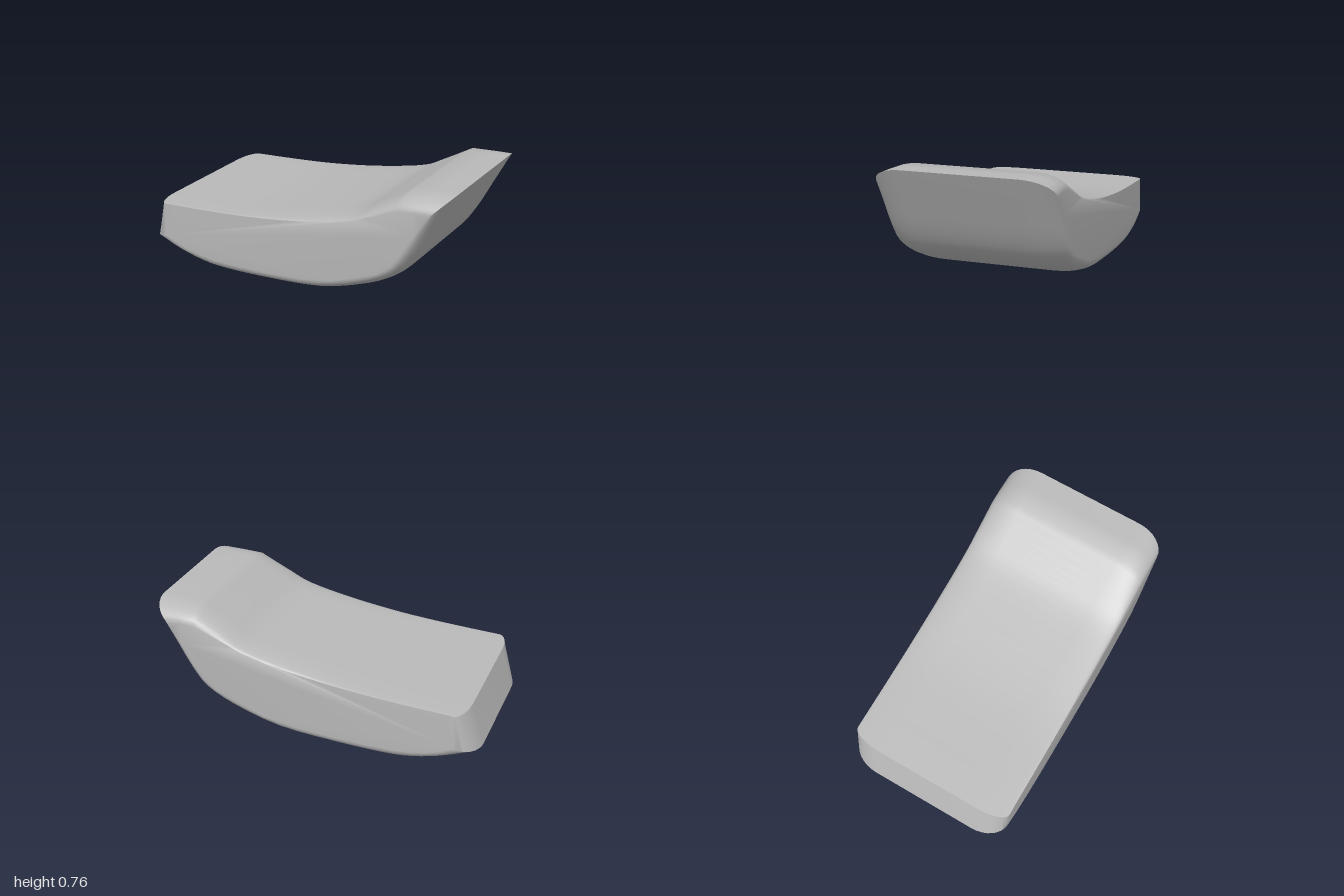
import * as THREE from 'three';
import { toCreasedNormals } from 'three/addons/utils/BufferGeometryUtils.js';

const INNER_Z = 0.34, OUTER_Z = 0.525, ROUND_STEPS = 8;

// smooth curve through a few points
const curve = (pts, n) =>
  new THREE.SplineCurve(pts.map(([x, y]) => new THREE.Vector2(x, y))).getPoints(n);

// closed outline: underside left to right, lip, then the top back to the left
function outline(under, lip, top) {
  const a = curve(under, 30), c = curve(top, 24);
  return [...a, new THREE.Vector2(...lip), ...c];
}

// outline along the middle of the body
const middle = outline(
  [[-1, 0.135], [-0.8, 0.065], [-0.62, 0.017], [-0.45, 0.002], [-0.15, 0.012], [0.2, 0.042],
    [0.5, 0.13], [0.69, 0.235], [0.79, 0.36], [0.89, 0.545], [1, 0.757]],
  [0.87, 0.751],
  [[0.74, 0.745], [0.55, 0.637], [0.4, 0.56], [0.13, 0.497], [-0.2, 0.44], [-0.5, 0.41], [-0.925, 0.386]]);

// outline of the flat sides, drawn in at the ends, underside and raised lip
const side = outline(
  [[-0.87, 0.175], [-0.76, 0.125], [-0.61, 0.093], [-0.45, 0.082], [-0.15, 0.088], [0.2, 0.118],
    [0.47, 0.2], [0.64, 0.285], [0.735, 0.4], [0.815, 0.53], [0.9, 0.66]],
  [0.81, 0.665],
  [[0.72, 0.66], [0.54, 0.585], [0.4, 0.53], [0.13, 0.474], [-0.2, 0.43], [-0.5, 0.405], [-0.86, 0.386]]);

function bodyGeometry() {
  // cross-sections from back to front, rounding off towards each side
  const sections = [];
  for (const s of [-1, 1]) {
    for (let k = 0; k <= ROUND_STEPS; k++) {
      const t = (s < 0 ? ROUND_STEPS - k : k) / ROUND_STEPS * Math.PI / 2;
      const z = s * (INNER_Z + (OUTER_Z - INNER_Z) * Math.sin(t));
      sections.push({ z, mix: Math.cos(t) });
    }
  }
  const n = middle.length, pos = [], index = [];
  for (const { z, mix } of sections) {
    for (let i = 0; i < n; i++) {
      const p = side[i].clone().lerp(middle[i], mix);
      pos.push(p.x, p.y, z);
    }
  }
  for (let j = 0; j < sections.length - 1; j++) {
    for (let i = 0; i < n; i++) {
      const a = j * n + i, b = j * n + (i + 1) % n;
      index.push(a, b, b + n, a, b + n, a + n);
    }
  }
  // flat sides
  const last = (sections.length - 1) * n;
  for (const [a, b, c] of THREE.ShapeUtils.triangulateShape(side, [])) {
    index.push(last + a, last + b, last + c, c, b, a);
  }
  const geo = new THREE.BufferGeometry();
  geo.setAttribute('position', new THREE.Float32BufferAttribute(pos, 3));
  geo.setIndex(index);
  return toCreasedNormals(geo, 0.65);
}

export function createModel() {
  const group = new THREE.Group();
  const lightGrey = new THREE.MeshStandardMaterial({ color: 0xbababa });
  lightGrey.name = 'lightGrey';
  const body = new THREE.Mesh(bodyGeometry(), lightGrey);
  body.name = 'curvedBody';
  group.add(body);
  return group;
}
